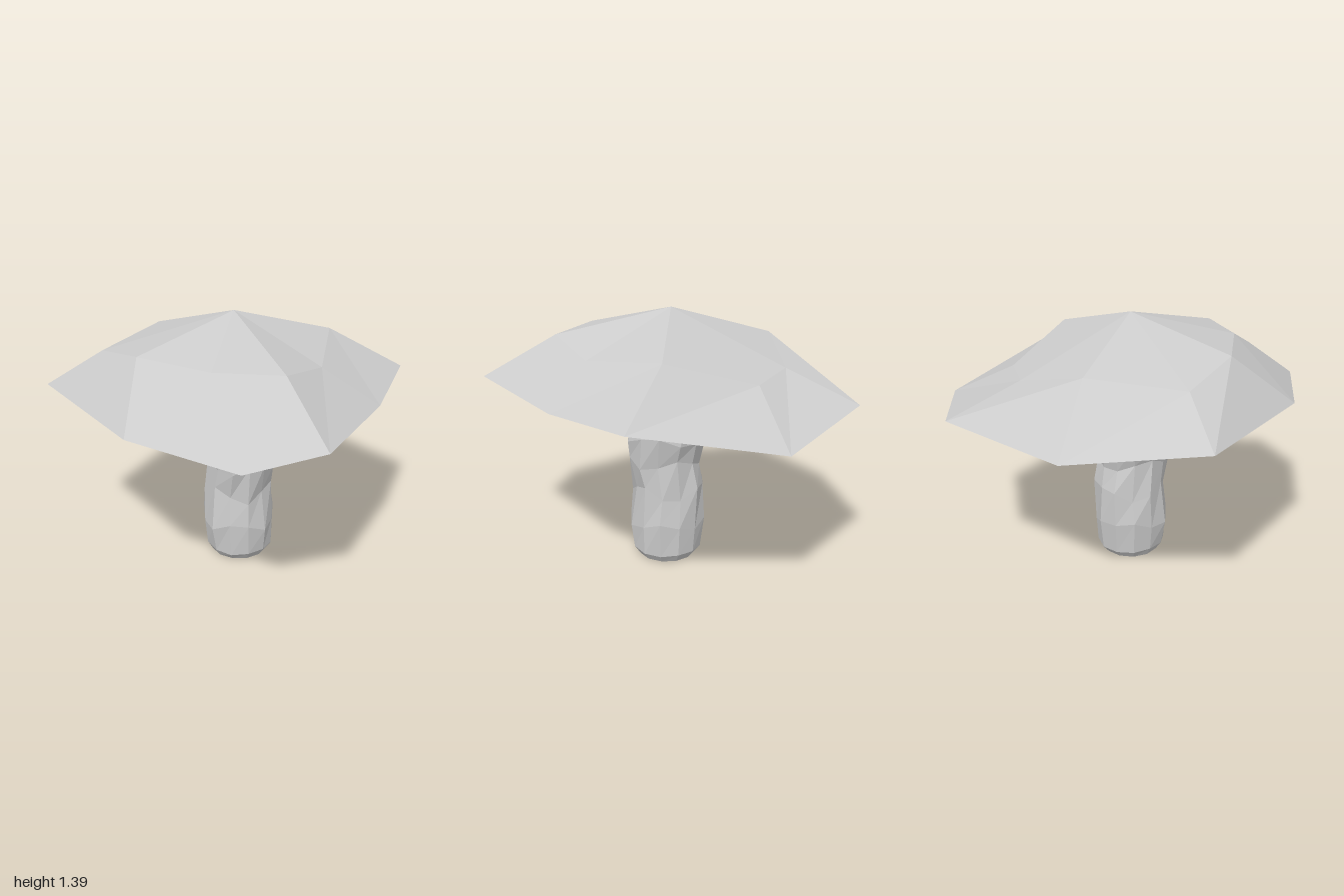
import * as THREE from 'three';

const material = new THREE.MeshStandardMaterial({ color: 0xcccccc, flatShading: true });

// Skins rings of points from top to bottom, closed by a single point at each end.
function loft(name, top, rings, bottom) {
  const n = rings[0].length;
  const rows = [Array(n).fill(top), ...rings, Array(n).fill(bottom)];
  const pos = [];
  for (let r = 0; r < rows.length - 1; r++) {
    const u = rows[r], l = rows[r + 1];
    for (let i = 0; i < n; i++) {
      const j = (i + 1) % n;
      if (r < rows.length - 2) pos.push(...u[i], ...l[j], ...l[i]);
      if (r > 0) pos.push(...u[i], ...u[j], ...l[j]);
    }
  }
  const g = new THREE.BufferGeometry();
  g.setAttribute('position', new THREE.Float32BufferAttribute(pos, 3));
  g.computeVertexNormals();
  const mesh = new THREE.Mesh(g, material);
  mesh.name = name;
  return mesh;
}

export function createModel() {
  const group = new THREE.Group();
  group.name = 'mushroom';

  // Cap: irregular nine-sided shoulder and rim, running from the back round by +x
  const shoulder = [
    [0.09, 1.12, -0.62], [0.37, 1.10, -0.51], [0.56, 1.235, -0.07],
    [0.35, 1.175, 0.36], [0.08, 1.24, 0.60], [-0.25, 1.25, 0.49],
    [-0.55, 1.26, 0.20], [-0.67, 1.19, -0.16], [-0.30, 1.22, -0.50],
  ];
  const rim = [
    [0.17, 0.965, -1.00], [0.74, 0.885, -0.69], [0.96, 1.01, 0.02],
    [0.63, 0.98, 0.47], [0.15, 1.01, 0.99], [-0.24, 0.94, 0.95],
    [-0.68, 0.98, 0.53], [-0.96, 1.00, -0.25], [-0.50, 0.92, -0.77],
  ];
  group.add(loft('cap', [0, 1.395, -0.01], [shoulder, rim], [0.01, 0.87, 0]));

  // Stem: twelve-sided sections [y, centre x, centre z, radius x, radius z, unevenness]
  const sections = [
    [0.91, 0.02, -0.02, 0.19, 0.19, 0],
    [0.71, 0.02, 0.01, 0.215, 0.215, 0.03],
    [0.57, 0.025, 0.025, 0.18, 0.20, 0.03],
    [0.40, 0.02, 0, 0.185, 0.195, 0.04],
    [0.21, 0.02, 0.01, 0.20, 0.205, 0.03],
    [0.045, 0.025, 0.01, 0.185, 0.19, 0.005],
    [0, 0.025, 0.01, 0.155, 0.155, 0],
  ];
  const rings = sections.map(([y, cx, cz, rx, rz, k], r) =>
    Array.from({ length: 12 }, (_, i) => {
      const t = (i / 12) * Math.PI * 2;
      const bump = 1 + k * 1.2 * Math.sin(i * 2.4 + r * 1.9);
      return [
        cx + rx * bump * Math.sin(t),
        y + k * Math.sin(i * 1.7 + r * 2.3),
        cz - rz * bump * Math.cos(t),
      ];
    }));
  group.add(loft('stem', [0.02, 0.91, -0.02], rings, [0.025, 0, 0.01]));

  return group;
}
